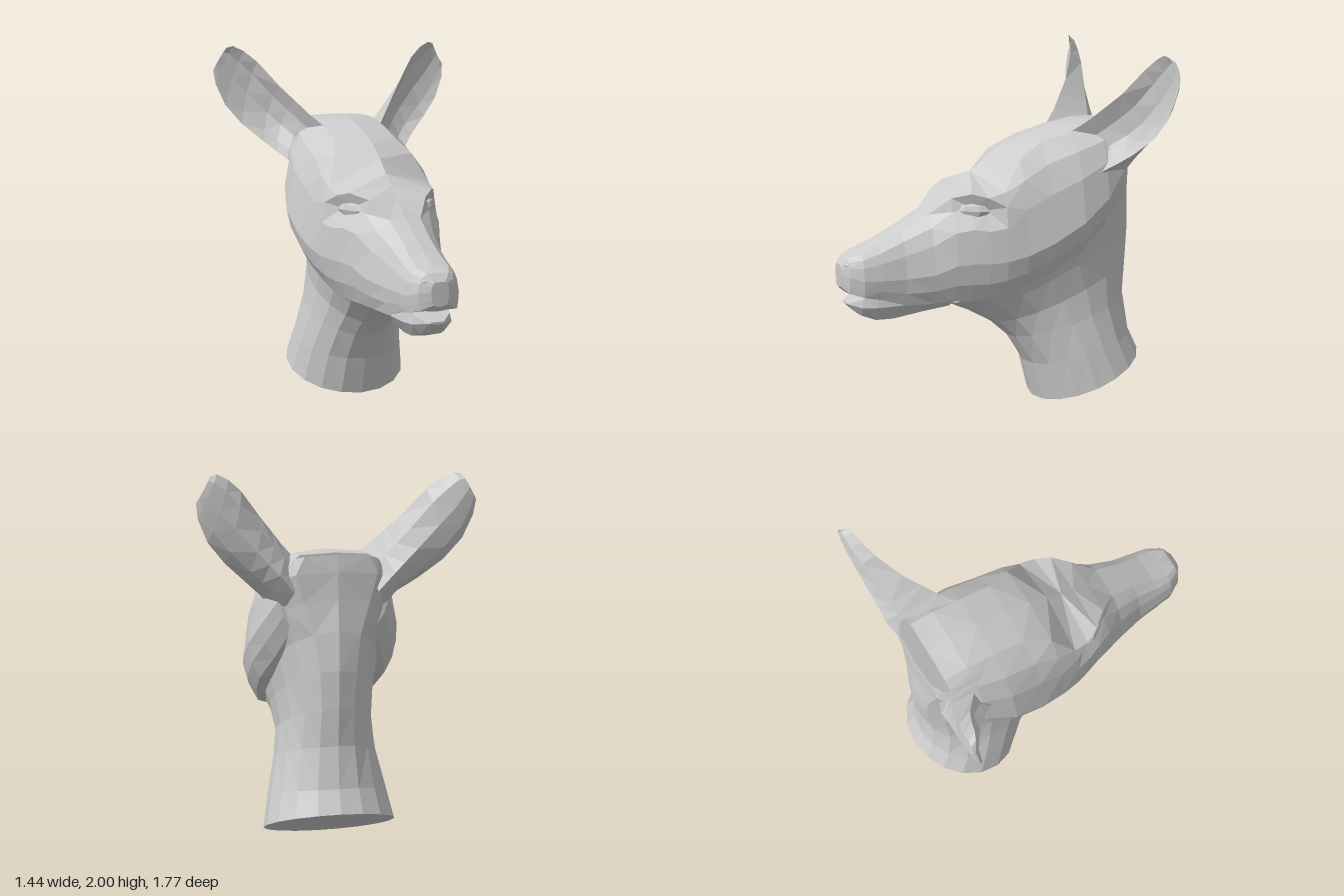
import * as THREE from 'three';

const material = new THREE.MeshStandardMaterial({ color: 0xcccccc, flatShading: true });
const V = (x, y, z) => new THREE.Vector3(x, y, z);
const mix = THREE.MathUtils.lerp;

// Closed, capped skin over rings of equal point count; quads split along their shorter
// diagonal, and faces are turned outward by volume sign
function loft(name, rings) {
  const n = rings[0].length;
  const pts = rings.flat();
  const tris = [];
  for (let r = 0; r < rings.length - 1; r++) {
    for (let i = 0; i < n; i++) {
      const a = r * n + i, b = r * n + (i + 1) % n, c = b + n, d = a + n;
      if (pts[a].distanceTo(pts[c]) < pts[b].distanceTo(pts[d])) tris.push([a, b, c], [a, c, d]);
      else tris.push([a, b, d], [b, c, d]);
    }
  }
  for (const r of [0, rings.length - 1]) {
    const c = pts.length;
    pts.push(rings[r].reduce((s, p) => s.add(p), V(0, 0, 0)).divideScalar(n));
    for (let i = 0; i < n; i++) {
      const a = r * n + i, b = r * n + (i + 1) % n;
      tris.push(r === 0 ? [b, a, c] : [a, b, c]);
    }
  }
  const volume = tris.reduce((s, [a, b, c]) => s + pts[a].dot(pts[b].clone().cross(pts[c])), 0);
  const index = tris.flatMap(([a, b, c]) => (volume > 0 ? [a, b, c] : [a, c, b]));
  const geometry = new THREE.BufferGeometry().setFromPoints(pts);
  geometry.setIndex(index);
  geometry.computeVertexNormals();
  const mesh = new THREE.Mesh(geometry, material);
  mesh.name = name;
  return mesh;
}

// Full ring from a half outline that starts and ends on the centre line
const mirrorRing = (half, z) => [
  ...half.map(([x, y]) => V(x, y, z)),
  ...half.slice(1, -1).reverse().map(([x, y]) => V(-x, y, z)),
];

// Skull and upper muzzle: z, top y, top edge x/y, widest x/y, jaw edge x/y, bottom y, eye socket depth
function skull() {
  const stations = [
    [0.885, 0.88, 0.03, 0.88, 0.05, 0.83, 0.04, 0.76, 0.75],
    [0.85, 0.92, 0.06, 0.92, 0.11, 0.82, 0.10, 0.73, 0.72],
    [0.78, 0.95, 0.09, 0.94, 0.15, 0.80, 0.14, 0.71, 0.71],
    [0.68, 0.99, 0.085, 0.98, 0.165, 0.80, 0.145, 0.69, 0.69],
    [0.55, 1.06, 0.08, 1.05, 0.18, 0.80, 0.155, 0.65, 0.60],
    [0.40, 1.14, 0.09, 1.13, 0.225, 0.82, 0.175, 0.65, 0.60],
    [0.29, 1.22, 0.165, 1.225, 0.265, 0.87, 0.21, 0.66, 0.60, 0.03],
    [0.20, 1.285, 0.24, 1.255, 0.295, 0.88, 0.23, 0.66, 0.60, 0.055],
    [0.12, 1.34, 0.285, 1.235, 0.325, 0.88, 0.25, 0.665, 0.60, 0.05],
    [0.03, 1.41, 0.295, 1.26, 0.355, 0.89, 0.28, 0.69, 0.61],
    [-0.08, 1.48, 0.23, 1.42, 0.38, 0.92, 0.30, 0.73, 0.65],
    [-0.22, 1.53, 0.18, 1.50, 0.40, 0.98, 0.33, 0.80, 0.72],
    [-0.40, 1.58, 0.18, 1.55, 0.405, 1.08, 0.34, 0.90, 0.84],
    [-0.56, 1.595, 0.18, 1.58, 0.365, 1.20, 0.29, 1.03, 0.95],
    [-0.69, 1.59, 0.18, 1.58, 0.29, 1.35, 0.22, 1.20, 1.14],
  ];
  return loft('skull', stations.map(([z, yTop, xE, yE, xW, yW, xJ, yJ, yBot, socket = 0]) => mirrorRing([
    [0, yTop], [xE, yE],
    [mix(xE, xW, 0.5) - socket, mix(yE, yW, 0.2)],
    [mix(xE, xW, 0.8), mix(yE, yW, 0.5)], [xW, yW],
    [mix(xW, xJ, 0.35), mix(yW, yJ, 0.55)], [xJ, yJ], [0, yBot],
  ], z)));
}

// Lower jaw: z, top y, half width, bottom y
function lowerJaw() {
  const stations = [
    [0.85, 0.665, 0.04, 0.65], [0.78, 0.69, 0.11, 0.59], [0.70, 0.715, 0.135, 0.56],
    [0.60, 0.72, 0.145, 0.56], [0.45, 0.72, 0.16, 0.585], [0.28, 0.70, 0.16, 0.605],
  ];
  return loft('lowerJaw', stations.map(([z, top, w, bottom]) => mirrorRing([
    [0, top], [w * 0.9, top], [w, mix(top, bottom, 0.45)], [w * 0.6, bottom + 0.005], [0, bottom],
  ], z)));
}

// Neck and nape: front y/z, back y/z, half width and squareness of each tilted ring
function neck() {
  const stations = [
    [0, -0.26, 0.26, -0.885, 0.35, 1], [0.22, -0.20, 0.38, -0.83, 0.315, 1],
    [0.38, -0.10, 0.60, -0.80, 0.27, 1], [0.47, 0, 0.80, -0.82, 0.25, 1],
    [0.55, 0.14, 1.00, -0.83, 0.265, 0.95], [0.61, 0.28, 1.20, -0.815, 0.305, 0.85],
    [0.80, 0.10, 1.36, -0.79, 0.345, 0.65], [1.10, -0.10, 1.50, -0.785, 0.345, 0.45],
    [1.40, -0.40, 1.585, -0.775, 0.26, 0.4],
  ];
  const sides = 18;
  return loft('neck', stations.map(([yF, zF, yB, zB, w, square]) =>
    Array.from({ length: sides }, (_, i) => {
      const a = (i / sides) * Math.PI * 2, t = (1 - Math.cos(a)) / 2;
      const s = i % (sides / 2) === 0 ? 0 : Math.sin(a);
      return V(Math.sign(s) * Math.abs(s) ** square * w, mix(yF, yB, t), mix(zF, zB, t));
    })));
}

// Cupped ear: upper rim, lower rim, depth of the back and of the hollow
function ear(side) {
  const stations = [
    [[0.16, 1.54, -0.40], [0.28, 1.25, -0.45], -0.76, -0.52],
    [[0.24, 1.62, -0.49], [0.355, 1.355, -0.53], -0.785, -0.60],
    [[0.30, 1.69, -0.55], [0.40, 1.395, -0.585], -0.785, -0.67],
    [[0.37, 1.77, -0.62], [0.46, 1.45, -0.65], -0.79, -0.72],
    [[0.48, 1.91, -0.70], [0.57, 1.55, -0.72], -0.80, -0.765],
    [[0.55, 1.97, -0.73], [0.66, 1.66, -0.75], -0.805, -0.78],
    [[0.61, 2.00, -0.745], [0.71, 1.78, -0.77], -0.805, -0.785],
    [[0.645, 1.99, -0.76], [0.72, 1.86, -0.785], -0.80, -0.785],
  ];
  return loft('ear', stations.map(([top, bottom, back, hollow]) => {
    const a = V(...top), b = V(...bottom);
    const at = (t, z, k) => {
      const p = a.clone().lerp(b, t);
      p.z = mix(p.z, z, k);
      return p;
    };
    const ring = [a, at(0.18, back, 0.75), at(0.5, back, 1), at(0.82, back, 0.75),
      b, at(0.8, hollow, 0.7), at(0.5, hollow, 1), at(0.2, hollow, 0.7)];
    ring.forEach((p) => { p.x *= side; });
    return ring;
  }));
}

function eye(side) {
  const mesh = new THREE.Mesh(new THREE.SphereGeometry(1, 6, 4), material);
  mesh.name = 'eye';
  mesh.scale.set(0.1, 0.04, 0.03);
  mesh.position.set(side * 0.222, 1.16, 0.19);
  mesh.rotation.y = side * 0.98;
  return mesh;
}

function nostril(side) {
  const mesh = new THREE.Mesh(new THREE.IcosahedronGeometry(1, 0), material);
  mesh.name = 'nostril';
  mesh.scale.set(0.03, 0.03, 0.06);
  mesh.position.set(side * 0.075, 0.89, 0.815);
  mesh.rotation.x = 0.4;
  return mesh;
}

export function createModel() {
  const model = new THREE.Group();
  model.name = 'animalHead';
  model.add(skull(), lowerJaw(), neck());
  for (const side of [1, -1]) {
    model.add(ear(side), eye(side), nostril(side));
  }
  return model;
}
